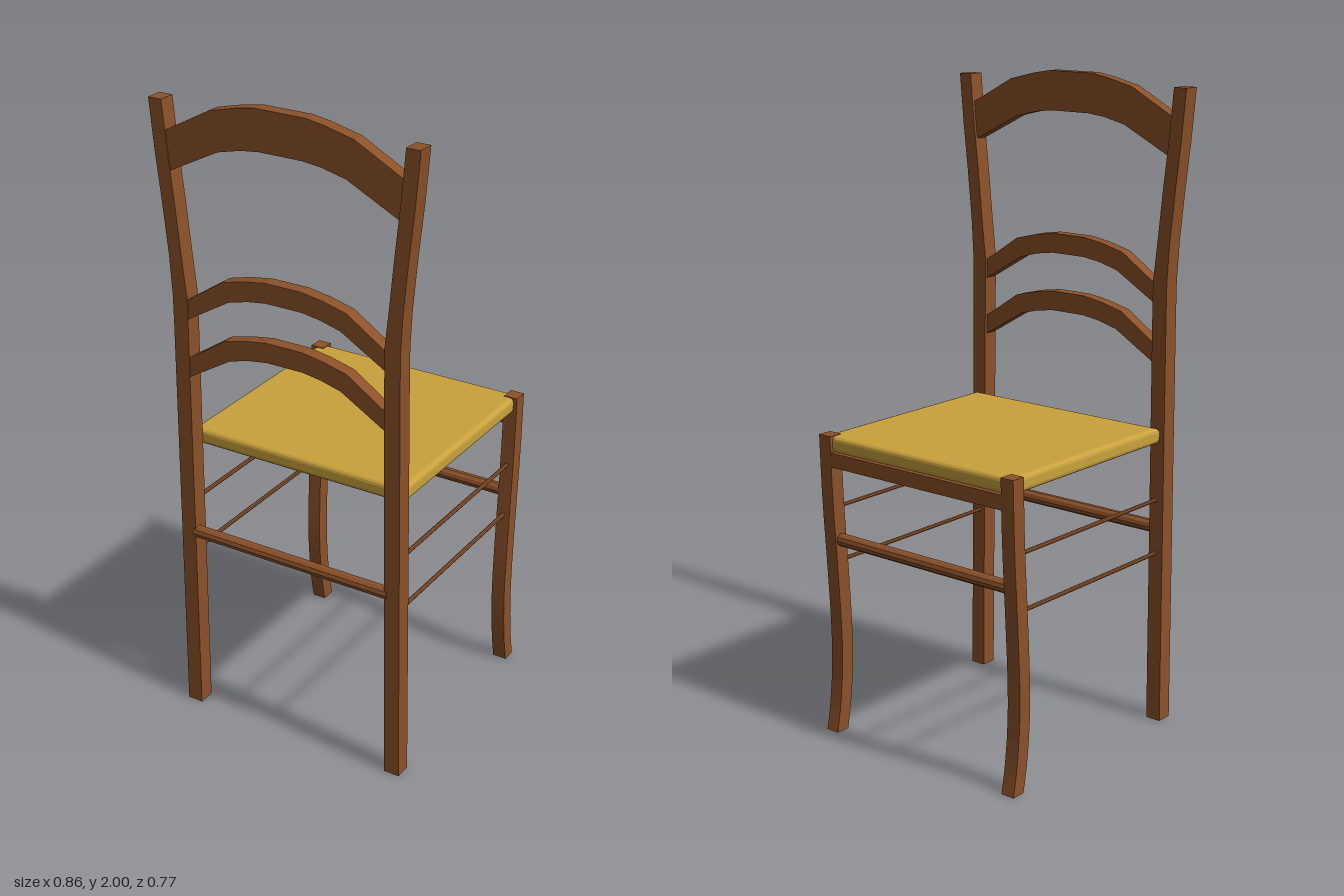
import * as THREE from 'three';

const wood = new THREE.MeshStandardMaterial({ color: 0x8b5129, flatShading: true });
const straw = new THREE.MeshStandardMaterial({ color: 0xcaa23d, flatShading: true });

const toShape = (pts) => new THREE.Shape(pts.map(([x, y]) => new THREE.Vector2(x, y)));
const slab = (pts, depth) => new THREE.ExtrudeGeometry(toShape(pts), { depth, bevelEnabled: false });

export function createModel() {
  const chair = new THREE.Group();
  chair.name = 'chair';
  const add = (name, geometry, material = wood) => {
    const mesh = new THREE.Mesh(geometry, material);
    mesh.name = name;
    chair.add(mesh);
    return mesh;
  };

  // Centre line of a front leg as [z, y], swept back at the shin
  const legCurve = new THREE.SplineCurve([
    [-0.36, 0], [-0.345, 0.08], [-0.333, 0.2], [-0.332, 0.33], [-0.342, 0.52], [-0.357, 0.75], [-0.364, 0.955],
  ].map(([z, y]) => new THREE.Vector2(z, y))).getPoints(14);
  const legOutline = [
    ...legCurve.map((p) => [p.x - 0.023, p.y]),
    ...legCurve.map((p) => [p.x + 0.023, p.y]).reverse(),
  ];

  // Centre line of a back post as [x, y], splayed outwards at the top
  const postLine = [[0.362, 0], [0.352, 1.3], [0.352, 1.4], [0.362, 1.52], [0.378, 1.68], [0.394, 1.82], [0.408, 1.975]];
  const postOutline = [
    ...postLine.map(([x, y]) => [x + (y > 1.5 ? 0.022 : 0.025), y]),
    ...postLine.map(([x, y]) => [x - (y > 1.5 ? 0.022 : 0.025), y]).reverse(),
  ];

  for (const [side, s] of [['left', 1], ['right', -1]]) {
    add(side + 'BackPost', slab(postOutline.map(([x, y]) => [s * x, y]), 0.052).translate(0, 0, 0.328));
    add(side + 'FrontLeg', slab(legOutline, 0.045).rotateY(-Math.PI / 2).translate(s * 0.3525 + 0.0225, 0, 0));
    // Thin side rods
    for (const [level, y] of [['Upper', 0.722], ['Lower', 0.549]]) {
      const rod = add(side + level + 'Rod', new THREE.CylinderGeometry(0.0065, 0.0065, 0.675, 8).rotateX(Math.PI / 2));
      rod.position.set(s * 0.352, y, -0.0075);
    }
  }

  // Arched back slats: half outlines [x, y], mirrored to the other side
  const slat = (name, upper, lower, dy = 0) => {
    const mirrored = (half) => [...half.map(([x, y]) => [-x, y + dy]).reverse(), ...half.map(([x, y]) => [x, y + dy])];
    add(name, slab([...mirrored(lower), ...mirrored(upper).reverse()], 0.04).translate(0, 0, 0.337));
  };
  slat('topSlat',
    [[0.08, 2.0], [0.14, 1.99], [0.23, 1.968], [0.38, 1.888]],
    [[0.07, 1.88], [0.13, 1.873], [0.205, 1.855], [0.37, 1.772]]);
  const upperEdge = [[0.06, 1.503], [0.13, 1.492], [0.205, 1.473], [0.33, 1.39]];
  const lowerEdge = [[0.06, 1.442], [0.12, 1.433], [0.185, 1.416], [0.33, 1.33]];
  slat('middleSlat', upperEdge, lowerEdge);
  slat('lowerSlat', upperEdge, lowerEdge, -0.182);

  // Woven seat with softened edges
  const b = 0.014;
  const seat = new THREE.ExtrudeGeometry(
    toShape([[-0.363 + b, -0.327 + b], [0.363 - b, -0.327 + b], [0.363 - b, 0.376 - b], [-0.363 + b, 0.376 - b]]),
    { depth: 0.05 - 2 * b, bevelThickness: b, bevelSize: b, bevelSegments: 3 });
  add('seat', seat.rotateX(-Math.PI / 2).translate(0, 0.903 + b, 0), straw);

  // Front rail below the seat
  add('frontRail', new THREE.BoxGeometry(0.67, 0.045, 0.04)).position.set(0, 0.882, -0.365);

  // Round stretchers between the legs
  for (const [name, z] of [['frontStretcher', -0.348], ['backStretcher', 0.366]]) {
    add(name, new THREE.CylinderGeometry(0.02, 0.02, 0.68, 10).rotateZ(Math.PI / 2)).position.set(0, 0.623, z);
  }
  return chair;
}
